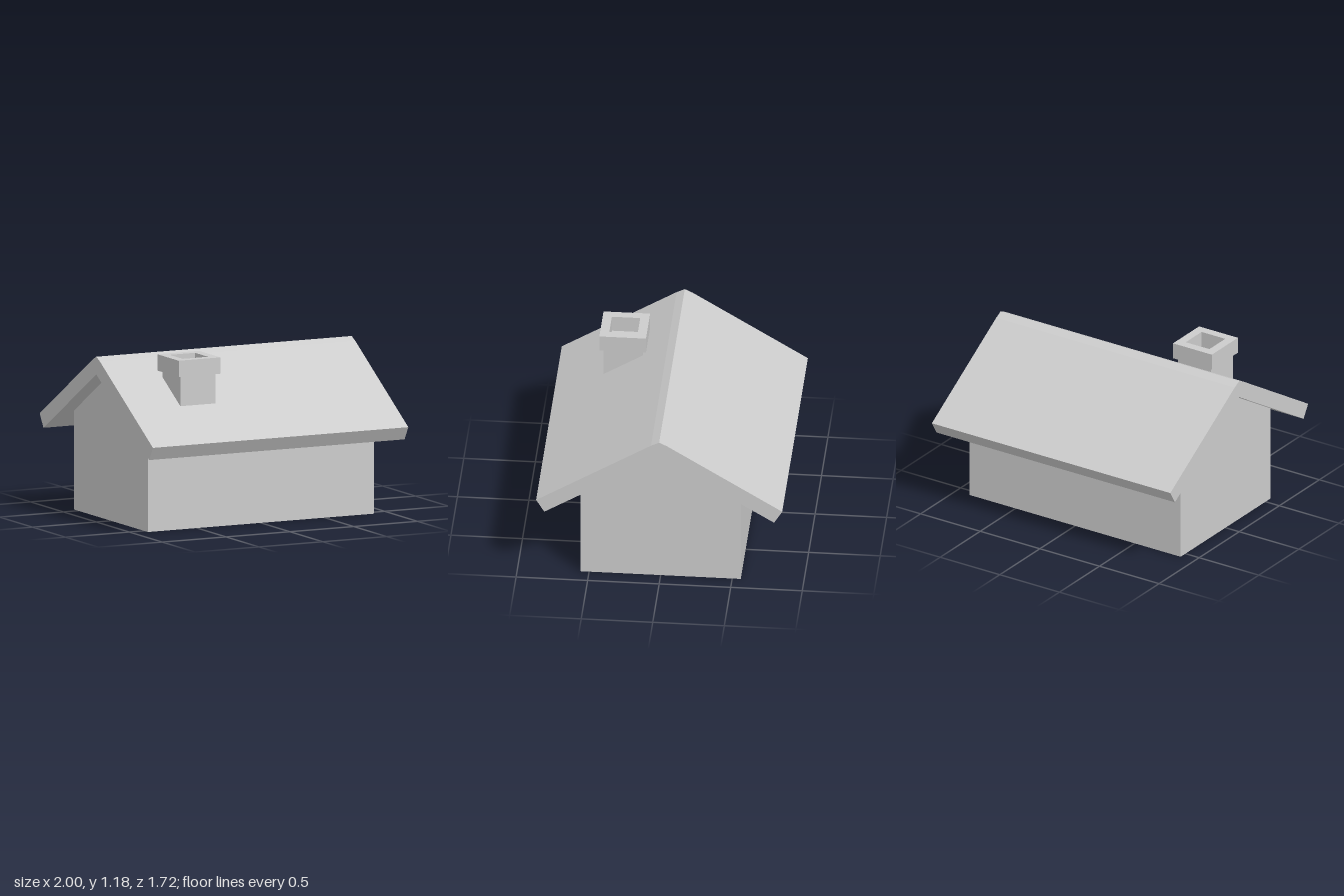
import * as THREE from 'three';

const material = new THREE.MeshStandardMaterial({ color: 0xcccccc, flatShading: true });

// Extrude a closed outline by a length, centred on its depth axis
function prism(name, points, length, hole) {
  const shape = new THREE.Shape(points.map(([a, b]) => new THREE.Vector2(a, b)));
  if (hole) shape.holes.push(new THREE.Path(hole.map(([a, b]) => new THREE.Vector2(a, b))));
  const geometry = new THREE.ExtrudeGeometry(shape, { depth: length, bevelEnabled: false });
  geometry.translate(0, 0, -length / 2);
  const mesh = new THREE.Mesh(geometry, material);
  mesh.name = name;
  return mesh;
}

// Mirror a half profile to make a symmetric outline
const mirrored = (half) => [...half, ...half.map(([a, b]) => [-a, b]).reverse()];
const square = (h) => [[-h, -h], [h, -h], [h, h], [-h, h]];

export function createModel() {
  const house = new THREE.Group();
  house.name = 'house';

  // Walls with gable ends
  const walls = prism('walls', [[-0.56, 0], [0.56, 0], [0.56, 0.7], [0, 1.04], [-0.56, 0.7]], 1.77);

  // Overhanging roof slab with a softened ridge
  const roof = prism('roof', [
    [0, 1.04], [0.803, 0.55], [0.86, 0.644], [0.057, 1.137],
    [0, 1.165], [-0.057, 1.137], [-0.86, 0.644], [-0.803, 0.55],
  ], 2);
  for (const part of [walls, roof]) {
    part.rotation.y = Math.PI / 2;
    house.add(part);
  }

  // Chimney: shaft sunk into the roof, topped by a hollow cap
  const chimney = new THREE.Group();
  chimney.name = 'chimney';
  chimney.position.set(-0.467, 0, 0.372);
  const shaft = new THREE.Mesh(new THREE.BoxGeometry(0.275, 0.23, 0.275), material);
  shaft.name = 'chimneyShaft';
  shaft.position.y = 0.955;
  const cap = prism('chimneyCap', square(0.163), 0.115, square(0.099));
  cap.rotation.x = -Math.PI / 2;
  cap.position.y = 1.1275;
  chimney.add(shaft, cap);
  house.add(chimney);

  return house;
}
